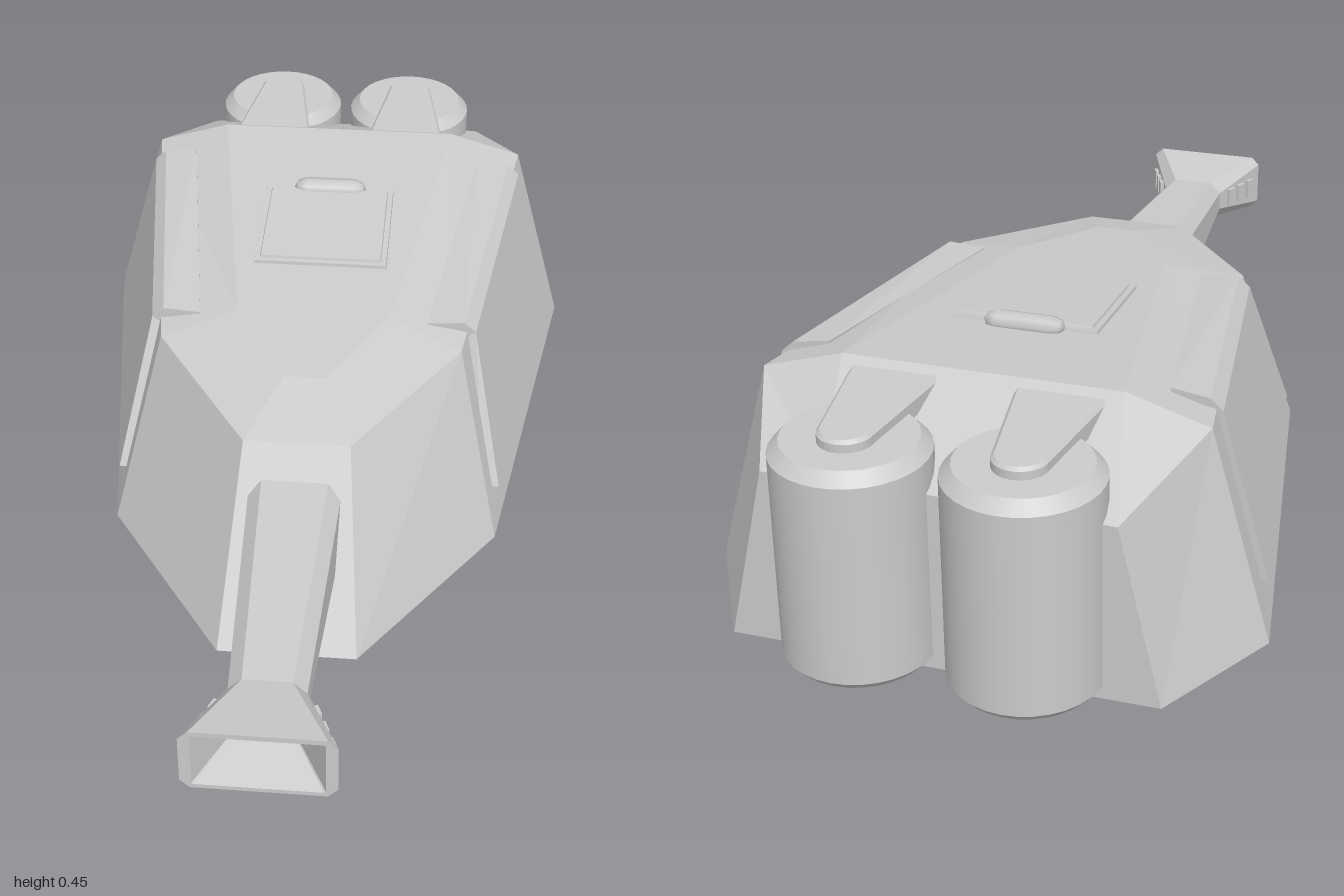
import * as THREE from 'three';

const grey = new THREE.MeshStandardMaterial({ color: 0xcccccc });
const V = (x, y, z) => new THREE.Vector3(x, y, z);

// Closed flat-shaded solid through rings of equal length; faces always turn outward
function loft(rings) {
  const n = rings[0].length, tris = [];
  const quad = (a, b, c, d) => tris.push([a, b, c], [a, c, d]);
  for (let r = 0; r < rings.length - 1; r++)
    for (let i = 0; i < n; i++) {
      const j = (i + 1) % n;
      quad(rings[r][i], rings[r][j], rings[r + 1][j], rings[r + 1][i]);
    }
  const first = rings[0], last = rings[rings.length - 1];
  for (let i = 0; i < n / 2 - 1; i++) {
    quad(first[n - 1 - i], first[n - 2 - i], first[i + 1], first[i]);
    quad(last[i], last[i + 1], last[n - 2 - i], last[n - 1 - i]);
  }
  let volume = 0;
  for (const [a, b, c] of tris) volume += a.dot(b.clone().cross(c));
  const pts = tris.flatMap(([a, b, c]) => (volume < 0 ? [a, c, b] : [a, b, c]));
  const g = new THREE.BufferGeometry().setFromPoints(pts);
  g.computeVertexNormals();
  return g;
}

// Ring completed by mirroring its +x half
const mirrored = (half) => {
  const p = half.map((q) => V(...q));
  return [...p, ...p.map((q) => V(-q.x, q.y, q.z)).reverse()];
};

// Chamfered rectangle facing z
const octagon = (w, y0, y1, c, z) =>
  mirrored([[w - c, y0, z], [w, y0 + c, z], [w, y1 - c, z], [w - c, y1, z]]);

export function createModel() {
  const model = new THREE.Group();
  const add = (name, geometry, parent = model) => {
    const mesh = new THREE.Mesh(geometry, grey);
    mesh.name = name;
    parent.add(mesh);
    return mesh;
  };

  // Faceted hull: base, shoulder and roof outlines
  add('hull', loft([
    mirrored([[0.13, 0, 0.56], [0.38, 0, 0.19], [0.51, 0, -0.65], [0.38, 0, -0.88]]),
    mirrored([[0.1, 0.325, 0.34], [0.295, 0.355, 0.06], [0.4, 0.4, -0.65], [0.305, 0.33, -0.88]]),
    mirrored([[0.04, 0.368, 0.19], [0.15, 0.386, 0], [0.25, 0.445, -0.65], [0.2, 0.335, -0.88]]),
  ]));

  // Raised side panels, folding over the shoulder and fading into the roof
  const sideX = (y, z) => 0.51 - 0.1548 * (z + 0.65) - 0.275 * y;
  const panelRing = (s, zLow, zTop, yTop, end) => {
    const x0 = sideX(0.07, zLow), x1 = sideX(yTop, zTop);
    return [
      [x0 + 0.012, 0.072, zLow], [x1 + 0.011, yTop, zTop], [x1 - 0.012, yTop + 0.021, zTop], [end[0], end[1], zTop],
      [end[0], end[1] - 0.02, zTop], [x1 - 0.035, yTop - 0.01, zTop], [x1 - 0.02, yTop - 0.02, zTop], [x0 - 0.02, 0.07, zLow],
    ].map(([x, y, z]) => V(s * x, y, z));
  };
  for (const s of [1, -1])
    add(s > 0 ? 'leftSidePanel' : 'rightSidePanel', loft([
      panelRing(s, 0.12, 0, 0.36, [0.225, 0.376]),
      panelRing(s, -0.575, -0.575, 0.393, [0.31, 0.424]),
    ]));

  // Gun barrel with flared hollow muzzle
  const gun = new THREE.Group();
  gun.name = 'gun';
  model.add(gun);
  add('barrel', loft([
    octagon(0.09, 0.085, 0.273, 0.024, 0.3),
    octagon(0.067, 0.138, 0.226, 0.024, 0.855),
    octagon(0.13, 0.118, 0.246, 0.017, 1),
    octagon(0.11, 0.126, 0.236, 0.003, 1),
    octagon(0.03, 0.166, 0.196, 0.002, 0.87),
  ]), gun);

  // Vent ribs on the muzzle cheeks
  for (const s of [1, -1])
    for (let i = 0; i < 3; i++) {
      const t = 0.26 + i * 0.24;
      const rib = add('muzzleRib', new THREE.BoxGeometry(0.016, 0.042, 0.022), gun);
      rib.position.set(s * (0.067 + 0.063 * t), 0.182, 0.855 + 0.145 * t);
      rib.rotation.y = s * Math.atan2(0.063, 0.145);
    }

  // Roof hatch: frame, lid and handle, tilted with the roof
  const hatch = new THREE.Group();
  hatch.name = 'hatch';
  hatch.position.set(0, 0.412, -0.285);
  hatch.rotation.x = Math.atan2(0.075, 0.84);
  model.add(hatch);
  const slab = (w, d, y0, y1, inset) => loft([[y0, 0], [y1, inset]].map(([y, i]) => mirrored(
    [[w - i, y, d - i], [w - i, y, i - d]])));
  add('hatchFrame', slab(0.138, 0.135, -0.015, 0.006, 0.004), hatch);
  add('hatchLid', slab(0.126, 0.123, 0, 0.011, 0.004), hatch);
  const handle = add('hatchHandle', new THREE.CapsuleGeometry(0.026, 0.1, 2, 8), hatch);
  handle.geometry.rotateZ(Math.PI / 2).scale(1, 0.7, 1);
  handle.position.set(0, 0.006, -0.133);

  // Rear canisters with bevelled rims, held by tapered straps
  const profile = [[0, 0.01], [0.122, 0.01], [0.135, 0.025], [0.135, 0.393], [0.115, 0.415], [0, 0.415]];
  const strapShape = new THREE.Shape();
  strapShape.moveTo(0.075, 0.665);
  strapShape.lineTo(0.042, 0.878);
  strapShape.absarc(0, 0.878, 0.042, 0, Math.PI, false);
  strapShape.lineTo(-0.075, 0.665);
  for (const s of [1, -1]) {
    const canister = new THREE.Group();
    canister.name = s > 0 ? 'leftCanister' : 'rightCanister';
    canister.position.x = s * 0.147;
    model.add(canister);
    // Each profile segment is its own surface so rims stay sharp
    for (let i = 0; i < profile.length - 1; i++) {
      const seg = [profile[i], profile[i + 1]].map((p) => new THREE.Vector2(...p));
      add('canisterShell', new THREE.LatheGeometry(seg, 32), canister).position.z = -0.865;
    }
    const strap = new THREE.ExtrudeGeometry(strapShape, {
      depth: 0.03, bevelThickness: 0.006, bevelSize: 0.006, bevelSegments: 1, curveSegments: 8,
    });
    strap.rotateX(-Math.PI / 2);
    add('strap', strap, canister).position.y = 0.4;
  }
  return model;
}
